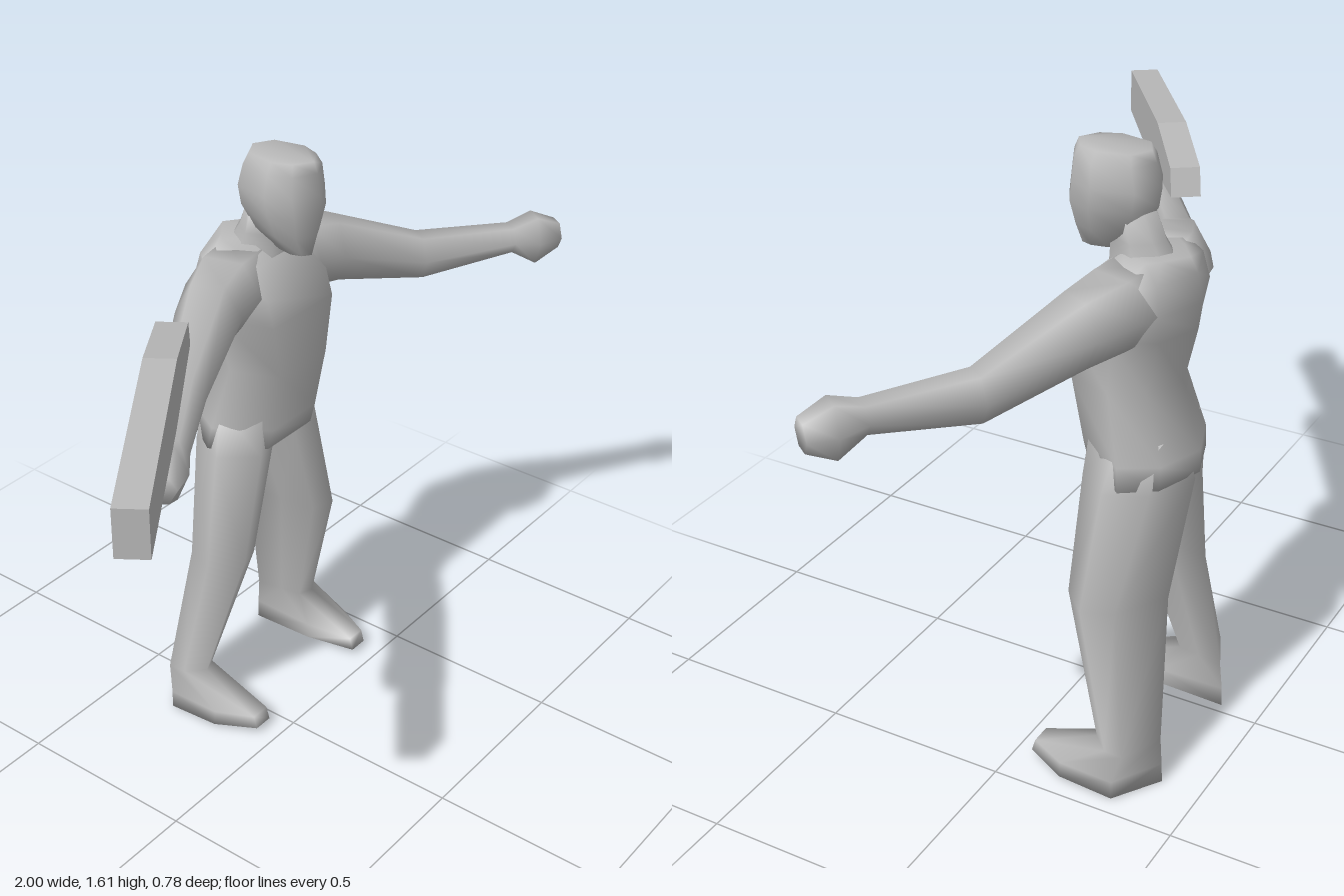
import * as THREE from 'three';

const grey = new THREE.MeshStandardMaterial({ color: 0xb8b8b8 });
grey.name = 'plain grey';
const CX = 0.15; // the figure's own middle line

// Skin a list of equal-sized rings of [x, y, z] points into a closed, smooth mesh
function loft(name, rings) {
  const n = rings[0].length, pos = [], idx = [];
  rings.forEach(r => r.forEach(p => pos.push(...p)));
  for (let i = 0; i < rings.length - 1; i++) {
    for (let j = 0; j < n; j++) {
      const a = i * n + j, b = i * n + (j + 1) % n;
      idx.push(a, b, a + n, b, b + n, a + n);
    }
  }
  const last = (rings.length - 1) * n;
  for (let j = 1; j < n - 1; j++) {
    idx.push(0, j + 1, j, last, last + j, last + j + 1);
  }
  // Turn the faces outward whichever way the rings run
  let volume = 0;
  const v = k => new THREE.Vector3().fromArray(pos, k * 3);
  for (let t = 0; t < idx.length; t += 3) {
    volume += v(idx[t]).dot(v(idx[t + 1]).cross(v(idx[t + 2])));
  }
  if (volume < 0) idx.reverse();
  const geo = new THREE.BufferGeometry();
  geo.setAttribute('position', new THREE.Float32BufferAttribute(pos, 3));
  geo.setIndex(idx);
  geo.computeVertexNormals();
  const mesh = new THREE.Mesh(geo, grey);
  mesh.name = name;
  return mesh;
}

// Symmetric ring from half an outline of [x, z] points, front to back
function ring(y, half) {
  const other = half.filter(p => p[0] !== 0).reverse().map(([x, z]) => [-x, z]);
  return [...half, ...other].map(([x, z]) => [CX + x, y, z]);
}

function makeTorso() {
  // height, front half width, side half width, front z, back z
  const rows = [
    [0.82, 0.09, 0.185, -0.13, -0.385],
    [0.88, 0.09, 0.175, -0.115, -0.385],
    [1.05, 0.095, 0.145, -0.085, -0.335],
    [1.20, 0.12, 0.165, -0.085, -0.37],
    [1.27, 0.12, 0.19, -0.105, -0.378],
    [1.34, 0.085, 0.17, -0.15, -0.365],
    [1.375, 0.05, 0.085, -0.2, -0.345]
  ];
  return loft('torso', rows.map(([y, f, w, zf, zb]) => ring(y, [
    [f, zf], [w, (zf + zb) / 2], [w * 0.7, zb + 0.045], [0, zb]
  ])));
}

function makeHead() {
  // height, half width, front z, back z
  const rows = [
    [1.365, 0.03, -0.06, -0.16],
    [1.42, 0.068, -0.045, -0.225],
    [1.48, 0.09, -0.03, -0.262],
    [1.53, 0.094, -0.036, -0.27],
    [1.585, 0.085, -0.043, -0.255],
    [1.612, 0.066, -0.055, -0.243]
  ];
  return loft('head', rows.map(([y, w, zf, zb]) => {
    const d = zb - zf;
    return ring(y, [[0, zf], [w * 0.7, zf + d * 0.15], [w, zf + d * 0.42], [w * 0.75, zf + d * 0.85], [0, zb]]);
  }));
}

function makeNeck() {
  const rows = [
    [1.29, 0.09, -0.15, -0.34],
    [1.35, 0.075, -0.155, -0.315],
    [1.40, 0.062, -0.155, -0.285],
    [1.47, 0.06, -0.15, -0.257]
  ];
  return loft('neck', rows.map(([y, w, zf, zb]) => ring(y, [
    [w * 0.5, zf], [w, (zf + zb) / 2], [w * 0.5, zb + 0.02], [0, zb]
  ])));
}

// Arm with fist: centre x, y, z, half depth, half height, sweep angle
function makeArm(name, side) {
  const stations = [
    [0.05, 1.275, -0.235, 0.11, 0.09, 0.1],
    [0.15, 1.275, -0.22, 0.105, 0.088, 0.25],
    [0.25, 1.26, -0.185, 0.085, 0.083, 0.45],
    [0.49, 1.178, -0.07, 0.06, 0.058, 0.58],
    [0.705, 1.19, 0.08, 0.048, 0.035, 0.62],
    [0.765, 1.18, 0.118, 0.056, 0.068, 0.62],
    [0.825, 1.182, 0.155, 0.042, 0.036, 0.62]
  ];
  return loft(name, stations.map(([x, y, z, h, v, a]) => {
    const pts = [];
    for (let k = 0; k < 6; k++) {
      const t = k * Math.PI / 3, across = Math.cos(t) * h;
      pts.push([CX + side * (x - Math.sin(a) * across), y + Math.sin(t) * v * 1.12, z + Math.cos(a) * across]);
    }
    return pts;
  }));
}

// Leg and foot: front inner, front outer, side, back outer, back inner, inner
function makeLeg(name, side) {
  const rows = [
    [0.93, [[0.03, -0.16], [0.10, -0.14], [0.15, -0.24], [0.11, -0.33], [0.02, -0.35], [0, -0.26]]],
    [0.81, [[0.045, -0.15], [0.12, -0.13], [0.195, -0.22], [0.15, -0.325], [0.02, -0.383], [0.02, -0.26]]],
    [0.51, [[0.13, -0.15], [0.195, -0.13], [0.265, -0.2], [0.235, -0.28], [0.105, -0.36], [0.115, -0.25]]],
    [0.13, [[0.2, -0.25], [0.24, -0.235], [0.285, -0.28], [0.288, -0.33], [0.175, -0.382], [0.19, -0.31]]],
    [0.055, [[0.195, -0.06], [0.25, -0.06], [0.298, -0.16], [0.304, -0.31], [0.178, -0.388], [0.175, -0.2]]],
    [0.01, [[0.195, -0.05], [0.25, -0.05], [0.302, -0.16], [0.305, -0.31], [0.178, -0.39], [0.173, -0.2]]]
  ];
  // The sole drops slightly toward the heel
  return loft(name, rows.map(([y, pts]) => pts.map(([x, z]) => [
    CX + side * x, y === 0.01 ? Math.max(0, (z + 0.39) * 0.06) : y, z
  ])));
}

// Long faceted bar floating over the right forearm
function makeBar() {
  const shape = new THREE.Shape([
    [0, 1.255], [0.48, 1.265], [0.8, 1.305], [0.775, 1.375], [0.54, 1.41], [0, 1.375]
  ].map(([x, y]) => new THREE.Vector2(x, y)));
  const geo = new THREE.ExtrudeGeometry(shape, { depth: 0.076, bevelEnabled: false });
  geo.translate(0, 0, -0.038);
  const bar = new THREE.Mesh(geo, grey);
  bar.name = 'floatingBar';
  bar.position.set(-0.976, 0, 0.355);
  bar.rotation.y = 0.61;
  return bar;
}

export function createModel() {
  const model = new THREE.Group();
  model.name = 'figureWithBar';
  model.add(makeTorso(), makeNeck(), makeHead(), makeBar());
  for (const [label, side] of [['left', 1], ['right', -1]]) {
    model.add(makeArm(label + 'Arm', side), makeLeg(label + 'Leg', side));
  }
  return model;
}
